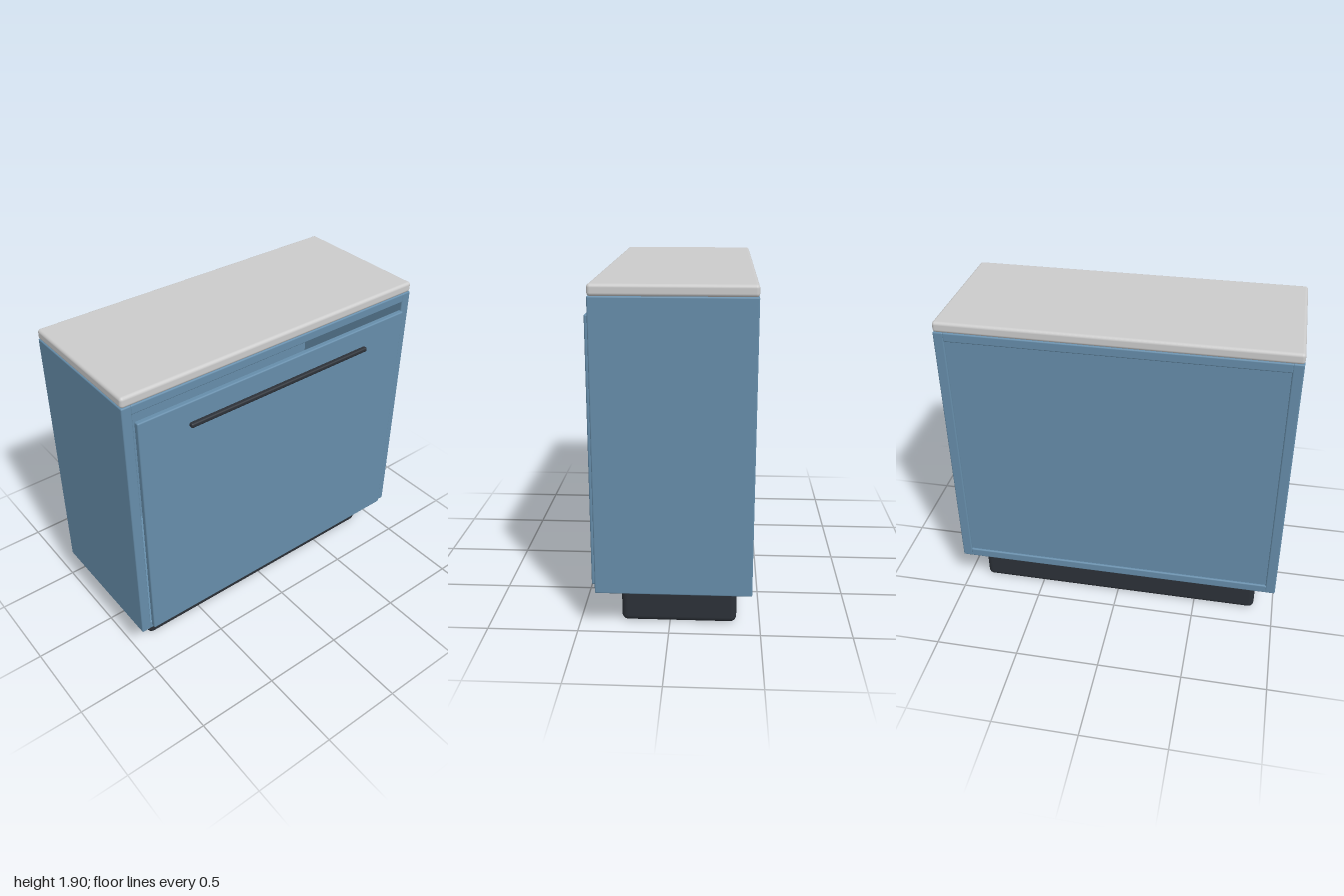
import * as THREE from 'three';
import { RoundedBoxGeometry } from 'three/addons/geometries/RoundedBoxGeometry.js';

const paint = new THREE.MeshStandardMaterial({ color: 0x668daa });
const dark = new THREE.MeshStandardMaterial({ color: 0x2c3138 });
const grey = new THREE.MeshStandardMaterial({ color: 0xcccccc });

// Softly edged box given by its extents on each axis
function slab(name, material, [x0, x1], [y0, y1], [z0, z1], radius) {
  const geometry = new RoundedBoxGeometry(x1 - x0, y1 - y0, z1 - z0, 4, radius);
  const mesh = new THREE.Mesh(geometry, material);
  mesh.name = name;
  mesh.position.set((x0 + x1) / 2, (y0 + y1) / 2, (z0 + z1) / 2);
  return mesh;
}

export function createModel() {
  const cabinet = new THREE.Group();
  cabinet.name = 'cabinet';
  const depth = [-0.45, 0.4];
  const inner = [-0.945, 0.945];

  // Recessed base and worktop
  cabinet.add(slab('plinth', dark, [-0.88, 0.88], [0, 0.23], [-0.37, 0.27], 0.035));
  cabinet.add(slab('worktop', grey, [-1, 1], [1.838, 1.9], depth, 0.018));

  // Hollow carcass
  const carcass = new THREE.Group();
  carcass.name = 'carcass';
  carcass.add(
    slab('leftSide', paint, [0.94, 1], [0.23, 1.84], depth, 0.008),
    slab('rightSide', paint, [-1, -0.94], [0.23, 1.84], depth, 0.008),
    slab('bottomPanel', paint, inner, [0.23, 0.285], depth, 0.008),
    slab('topPanel', paint, inner, [1.785, 1.84], depth, 0.008),
    slab('backPanel', paint, inner, [0.27, 1.8], [-0.438, -0.418], 0.003),
  );
  cabinet.add(carcass);

  // Drop-down front with a gap above it, and its bar handle
  const door = new THREE.Group();
  door.name = 'door';
  door.add(
    slab('doorPanel', paint, [-0.932, 0.932], [0.248, 1.738], [0.392, 0.426], 0.008),
    slab('handle', dark, [-0.627, 0.627], [1.587, 1.615], [0.42, 0.45], 0.01),
  );
  cabinet.add(door);

  return cabinet;
}
